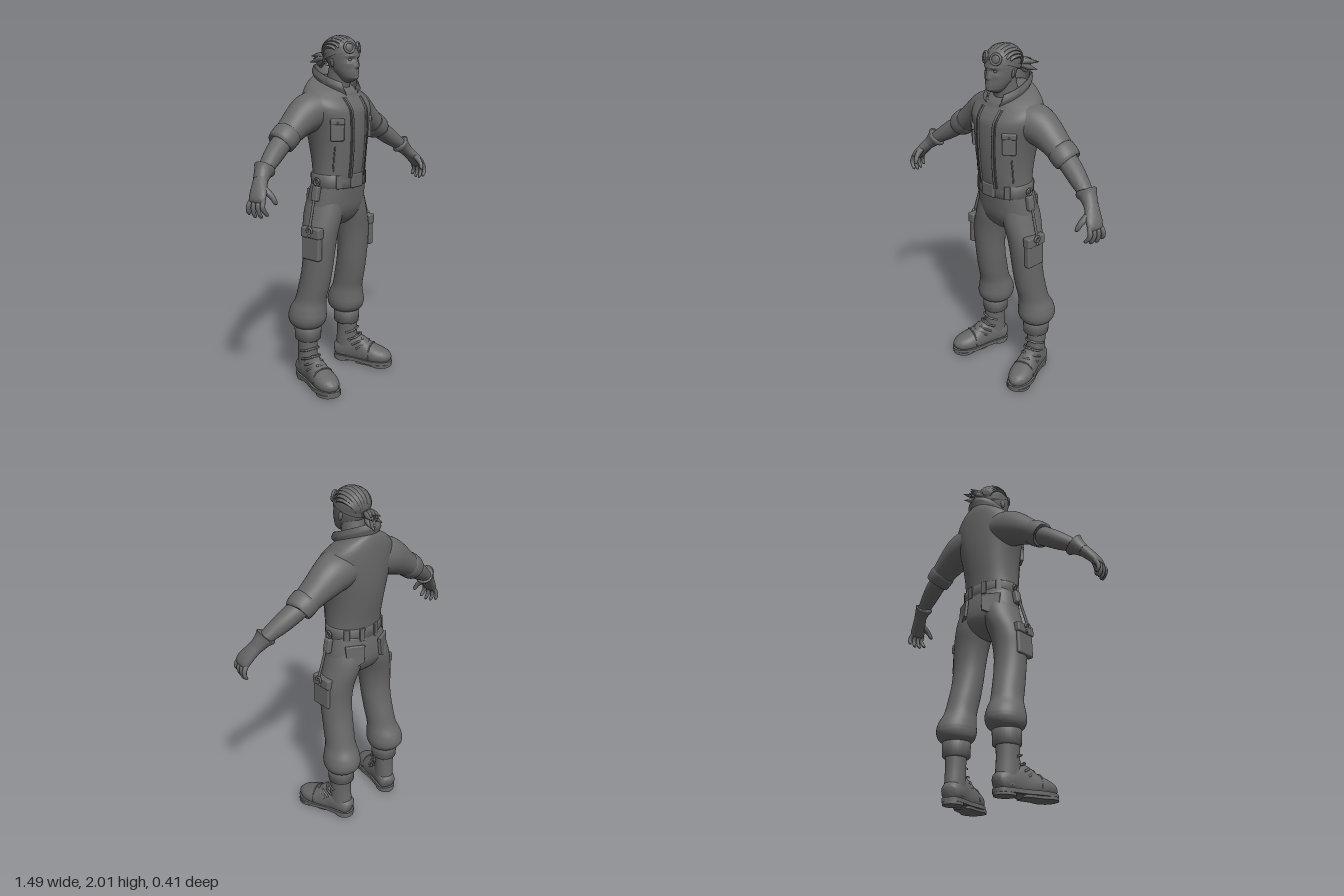
import * as THREE from 'three';
import { toCreasedNormals } from 'three/addons/utils/BufferGeometryUtils.js';
import { RoundedBoxGeometry } from 'three/addons/geometries/RoundedBoxGeometry.js';

const mat = new THREE.MeshStandardMaterial({ color: 0x686868 });
const thin = new THREE.MeshStandardMaterial({ color: 0x686868, side: THREE.DoubleSide });
const V = (x, y, z) => new THREE.Vector3(x, y, z);

function add(parent, name, geo, pos = [0, 0, 0], rot = [0, 0, 0], material = mat) {
  const m = new THREE.Mesh(geo, material);
  m.name = name;
  m.position.set(...pos);
  m.rotation.set(...rot);
  parent.add(m);
  return m;
}

// Smooth interpolation over rows of numbers, t running from 0 to rows.length - 1
const smooth = rows => {
  const it = new THREE.CubicInterpolant(rows.map((_, i) => i), rows.flat(), rows[0].length);
  return t => [...it.evaluate(t)];
};

// Lofted body from rows [x, y, z, sideRadius, refRadius]; ref is the direction of refRadius
function loft(rows, { steps = 4, seg = 28, ref = V(0, 0, 1), flat = false, e = 2, warp = null, crease = 0.9 } = {}) {
  const f = smooth(rows), n = (rows.length - 1) * steps, pos = [], idx = [];
  const secs = Array.from({ length: n + 1 }, (_, i) => f(i / steps));
  const P = secs.map(s => V(s[0], s[1], s[2]));
  const bend = v => Math.sign(v) * Math.abs(v) ** (2 / e);
  const put = p => { if (warp) warp(p); pos.push(p.x, p.y, p.z); };
  secs.forEach((s, i) => {
    const T = flat ? V(0, 1, 0) : P[Math.min(i + 1, n)].clone().sub(P[Math.max(i - 1, 0)]).normalize();
    const U = ref.clone().addScaledVector(T, -ref.dot(T)).normalize();
    const W = T.clone().cross(U);
    for (let j = 0; j < seg; j++) {
      const a = j / seg * Math.PI * 2;
      put(P[i].clone().addScaledVector(U, s[4] * bend(Math.cos(a))).addScaledVector(W, s[3] * bend(Math.sin(a))));
    }
  });
  for (let i = 0; i < n; i++) for (let j = 0; j < seg; j++) {
    const k = (j + 1) % seg, a = i * seg + j, b = i * seg + k;
    idx.push(a, b, b + seg, a, b + seg, a + seg);
  }
  put(P[0].clone()); put(P[n].clone());
  const c0 = (n + 1) * seg;
  for (let j = 0; j < seg; j++) {
    const k = (j + 1) % seg;
    idx.push(c0, k, j, c0 + 1, n * seg + j, n * seg + k);
  }
  const g = new THREE.BufferGeometry();
  g.setAttribute('position', new THREE.Float32BufferAttribute(pos, 3));
  g.setIndex(idx);
  return toCreasedNormals(g, crease);
}

const cord = (pts, r) => new THREE.TubeGeometry(new THREE.CatmullRomCurve3(pts.map(p => V(...p))), 24, r, 6);
const box = (w, h, d, r = 0.008) => new RoundedBoxGeometry(w, h, d, 3, r);

const TORSO = [[0, 1.2, 0.005, 0.17, 0.125], [0, 1.3, 0.005, 0.166, 0.14], [0, 1.4, 0, 0.174, 0.153],
  [0, 1.5, -0.005, 0.193, 0.161], [0, 1.6, -0.01, 0.222, 0.16], [0, 1.66, -0.02, 0.218, 0.149],
  [0, 1.7, -0.03, 0.178, 0.134], [0, 1.73, -0.03, 0.12, 0.12], [0, 1.745, -0.03, 0.07, 0.09]];

// Front of the jacket at x, y
function chestZ(x, y) {
  const i = Math.max(0, TORSO.findIndex(r => r[1] > y) - 1);
  const s = smooth(TORSO)(i + (y - TORSO[i][1]) / (TORSO[i + 1][1] - TORSO[i][1]));
  return s[2] + s[4] * (1 - Math.abs(x / s[3]) ** 2.1) ** (1 / 2.1);
}

function headParts(g) {
  // Face relief as soft bumps: x, y, width, height, depth
  const bumps = [[0, 1.85, 0.010, 0.02, 0.014], [0, 1.834, 0.013, 0.009, 0.012], [0.032, 1.87, 0.016, 0.011, -0.011],
    [0.03, 1.889, 0.024, 0.008, 0.006], [0, 1.806, 0.022, 0.004, 0.006], [0, 1.794, 0.018, 0.005, 0.006],
    [0, 1.772, 0.02, 0.012, 0.01], [0.05, 1.845, 0.018, 0.015, 0.004]];
  const face = p => {
    if (p.z < 0.06) return;
    for (const [x, y, w, h, d] of bumps)
      p.z += d * Math.exp(-(((Math.abs(p.x) - x) / w) ** 2) - ((p.y - y) / h) ** 2);
  };
  add(g, 'head', loft([[0, 1.748, 0.06, 0.02, 0.03], [0, 1.765, 0.068, 0.042, 0.054], [0, 1.79, 0.06, 0.057, 0.07],
    [0, 1.82, 0.044, 0.069, 0.086], [0, 1.86, 0.034, 0.077, 0.093], [0, 1.9, 0.03, 0.08, 0.097],
    [0, 1.94, 0.025, 0.078, 0.092], [0, 1.97, 0.022, 0.06, 0.07], [0, 1.985, 0.02, 0.03, 0.035]],
    { steps: 9, seg: 72, flat: true, warp: face, crease: 2 }));
  add(g, 'neck', loft([[0, 1.62, -0.02, 0.075, 0.08], [0, 1.72, -0.005, 0.066, 0.07], [0, 1.82, 0.015, 0.062, 0.065]]));
  for (const s of [-1, 1]) {
    add(g, 'eye', new THREE.SphereGeometry(0.011, 16, 12), [s * 0.032, 1.869, 0.104]);
    add(g, 'ear', new THREE.SphereGeometry(1, 16, 12), [s * 0.077, 1.853, 0.02], [-0.2, s * 0.3, 0]).scale.set(0.007, 0.024, 0.014);
  }

  // Swept-back hair, tied at the nape
  const cap = new THREE.SphereGeometry(1, 36, 20, 0, Math.PI * 2, 0, 1.85).rotateX(-0.5).scale(0.085, 0.08, 0.102);
  add(g, 'hairCap', cap, [0, 1.91, 0.016], [0, 0, 0], thin);
  for (let i = -5; i <= 5; i++) {
    const rows = [];
    for (let k = 0; k <= 8; k++) {
      const t = k / 8, l = i * 0.25 * (1 - 0.72 * t ** 3), phi = 1.0 - 3.05 * t, c = Math.cos(l);
      const r = 0.005 + 0.014 * Math.sin(Math.PI * (0.08 + 0.84 * t));
      rows.push([0.082 * Math.sin(l), 1.909 + 0.081 * c * Math.cos(phi), 0.016 + 0.102 * c * Math.sin(phi), r * 0.6, r]);
    }
    add(g, 'hairStrand', loft(rows, { steps: 3, seg: 8, ref: V(1, 0, 0) }));
  }
  add(g, 'hairTie', new THREE.TorusGeometry(0.017, 0.008, 8, 18), [0, 1.868, -0.09], [0.25, 0, 0]);
  for (let i = 0; i < 10; i++) {
    const a = i * 2.4, q = i ? 0.6 + 0.2 * (i % 3) : 0, x = Math.cos(a) * q, y = Math.sin(a) * q;
    const end = -0.165 - 0.035 * ((i * 5) % 7) / 6;
    add(g, 'ponytailLock', loft([[0, 1.868, -0.07, 0.007, 0.007], [x * 0.02, 1.876 + y * 0.022, -0.112, 0.015, 0.014],
      [0.01 + x * 0.032, 1.87 + y * 0.037, -0.142, 0.014, 0.012], [0.02 + x * 0.038, 1.858 + y * 0.05, end, 0.002, 0.002]],
      { seg: 8, ref: V(1, 0, 0) }));
  }

  // Goggles pushed up on the forehead
  add(g, 'goggleStrap', new THREE.CylinderGeometry(1, 1, 0.024, 48, 1, true).scale(0.088, 1, 0.108), [0, 1.9, 0.02], [-0.33, 0, 0], thin);
  for (const s of [-1, 1]) {
    const lens = new THREE.Group();
    lens.name = 'goggleLens';
    lens.position.set(s * 0.04, 1.934, 0.11);
    lens.rotation.set(-0.2, s * 0.45, 0);
    add(lens, 'rim', new THREE.TorusGeometry(0.027, 0.007, 10, 28));
    add(lens, 'housing', new THREE.CylinderGeometry(0.028, 0.033, 0.028, 28).rotateX(Math.PI / 2), [0, 0, -0.014]);
    add(lens, 'glass', new THREE.SphereGeometry(0.024, 20, 12).scale(1, 1, 0.35));
    g.add(lens);
  }
  add(g, 'goggleBridge', box(0.022, 0.014, 0.014, 0.004), [0, 1.934, 0.12]);
}

function jacketParts(g) {
  // The neckline drops towards the front
  const neckline = p => { p.y -= 0.35 * p.z * THREE.MathUtils.clamp((p.y - 1.6) / 0.13, 0, 1); };
  add(g, 'jacket', loft(TORSO, { steps: 6, seg: 72, flat: true, e: 2.1, warp: neckline, crease: 2 }));

  // Open stand-up collar, folded outwards, its front corners spread apart
  const pos = [], idx = [], n = 40;
  const rings = [[0.1, 0.124, 1.68, 0.32, 0.42], [0.1, 0.128, 1.72, 0.35, 0.5], [0.114, 0.148, 1.748, 0.39, 0.64], [0.115, 0.149, 1.757, 0.39, 0.68],
    [0.106, 0.136, 1.783, 0.4, 0.74], [0.1, 0.13, 1.783, 0.4, 0.74], [0.091, 0.117, 1.73, 0.37, 0.55], [0.092, 0.113, 1.68, 0.32, 0.42]];
  for (const [rx, rz, y, k, gap] of rings) for (let j = 0; j <= n; j++) {
    const a = gap + (2 * Math.PI - 2 * gap) * j / n, z = rz * Math.cos(a) - 0.016;
    pos.push(rx * Math.sin(a), y - k * z, z);
  }
  for (let i = 0; i < rings.length - 1; i++) for (let j = 0; j < n; j++) {
    const a = i * (n + 1) + j, d = a + n + 1;
    idx.push(a, a + 1, d + 1, a, d + 1, d);
  }
  const c = new THREE.BufferGeometry();
  c.setAttribute('position', new THREE.Float32BufferAttribute(pos, 3));
  c.setIndex(idx);
  add(g, 'collar', toCreasedNormals(c, 0.9), [0, 0, 0], [0, 0, 0], thin);

  for (const s of [-1, 1]) {
    // Front seams, piping and chest pockets
    for (const [dx, r] of [[0, 0.006], [0.013, 0.0045]]) {
      const pts = [];
      for (let i = 0; i <= 10; i++) {
        const y = 1.23 + 0.465 * i / 10, x = s * (0.05 + dx + 0.014 * (i / 10) ** 2);
        const p = V(x, y, chestZ(x, y) + 0.003);
        neckline(p);
        pts.push([p.x, p.y, p.z]);
      }
      add(g, 'frontSeam', cord(pts, r));
    }
    const z = chestZ(0.14, 1.5);
    add(g, 'chestPocket', box(0.075, 0.11, 0.022), [s * 0.14, 1.495, z], [0, s * 0.68, 0]);
    add(g, 'chestPocketFlap', box(0.08, 0.034, 0.03), [s * 0.14, 1.545, z], [0, s * 0.68, 0]);
    add(g, 'chestPocketButton', new THREE.SphereGeometry(0.006, 10, 8), [s * 0.15, 1.54, z + 0.012]);
    const side = [1.27, 1.34, 1.41].map(y => [s * 0.142, y, chestZ(0.142, y) + 0.001]);
    add(g, 'sidePocketSeam', cord(side, 0.004));
  }

  // Belt
  const ring = (y, k) => [0, y, 0.002, 0.176 + k, 0.13 + k];
  add(g, 'belt', loft([ring(1.17, -0.006), ring(1.176, 0), ring(1.244, 0), ring(1.25, -0.006)], { steps: 1, seg: 56, flat: true, e: 2.1 }));
  add(g, 'buckle', box(0.094, 0.08, 0.024, 0.01), [0, 1.21, 0.131]);
  for (const a of [0.72, 2.3, 2.85, -0.72, -2.3, -2.85])
    add(g, 'beltLoop', box(0.034, 0.078, 0.012, 0.004), [0.176 * Math.sin(a), 1.21, 0.002 + 0.131 * Math.cos(a)], [0, Math.atan2(Math.sin(a) / 0.176, Math.cos(a) / 0.13), 0]);
}

function armParts(g) {
  add(g, 'sleeve', loft([[0.06, 1.6, -0.02, 0.085, 0.11], [0.12, 1.603, -0.033, 0.105, 0.118], [0.19, 1.588, -0.046, 0.108, 0.108],
    [0.25, 1.56, -0.05, 0.097, 0.095], [0.32, 1.518, -0.048, 0.078, 0.083], [0.38, 1.478, -0.043, 0.067, 0.074],
    [0.41, 1.457, -0.04, 0.062, 0.068]], { steps: 5, seg: 40, crease: 1.2 }));
  add(g, 'sleeveCuff', loft([[0.36, 1.494, -0.043, 0.064, 0.07], [0.366, 1.49, -0.043, 0.073, 0.08], [0.395, 1.47, -0.041, 0.074, 0.081],
    [0.422, 1.45, -0.038, 0.07, 0.077], [0.427, 1.446, -0.038, 0.06, 0.067]], { steps: 2, seg: 32 }));
  add(g, 'forearm', loft([[0.39, 1.47, -0.04, 0.054, 0.058], [0.46, 1.425, -0.026, 0.053, 0.056], [0.52, 1.385, -0.01, 0.049, 0.05],
    [0.58, 1.345, 0.008, 0.039, 0.042], [0.63, 1.305, 0.022, 0.033, 0.037]]));
  add(g, 'gloveCuff', loft([[0.592, 1.345, 0.01, 0.05, 0.044], [0.596, 1.34, 0.012, 0.062, 0.052], [0.615, 1.322, 0.018, 0.046, 0.045],
    [0.645, 1.29, 0.03, 0.034, 0.04]]));
  add(g, 'palm', loft([[0.635, 1.302, 0.026, 0.034, 0.039], [0.668, 1.265, 0.045, 0.03, 0.045], [0.697, 1.228, 0.064, 0.026, 0.052],
    [0.712, 1.202, 0.073, 0.02, 0.05], [0.716, 1.19, 0.075, 0.008, 0.035]]));
  [0.034, 0.06, 0.086, 0.112].forEach((z, i) => {
    const l = [0.85, 1, 1.0, 0.85][i], k = z - 0.07, x = -0.007 * i;
    add(g, 'finger', loft([[0.705, 1.212, z, 0.012, 0.013], [0.727 + x * 0.4, 1.18, z + k * 0.1, 0.013, 0.013],
      [0.731 + x, 1.205 - 0.06 * l, z + k * 0.2, 0.011, 0.0115], [0.722 + x * 1.3, 1.205 - 0.082 * l, z + k * 0.25, 0.009, 0.009],
      [0.718 + x * 1.3, 1.205 - 0.09 * l, z + k * 0.25, 0.003, 0.003]], { seg: 12 }));
  });
  add(g, 'thumb', loft([[0.672, 1.268, 0.06, 0.018, 0.022], [0.666, 1.245, 0.098, 0.017, 0.019], [0.658, 1.218, 0.126, 0.014, 0.015],
    [0.65, 1.19, 0.139, 0.011, 0.011], [0.648, 1.181, 0.142, 0.003, 0.003]], { seg: 12, ref: V(1, 0, 0) }));
}

function legParts(g) {
  add(g, 'trouserLeg', loft([[0.18, 0.335, -0.085, 0.068, 0.07], [0.179, 0.36, -0.088, 0.097, 0.102], [0.178, 0.4, -0.088, 0.107, 0.117],
    [0.175, 0.45, -0.083, 0.101, 0.11], [0.169, 0.51, -0.067, 0.088, 0.094], [0.163, 0.6, -0.045, 0.087, 0.093],
    [0.158, 0.7, -0.026, 0.09, 0.09], [0.154, 0.8, -0.016, 0.094, 0.092], [0.143, 0.9, -0.016, 0.101, 0.102],
    [0.114, 1.0, -0.021, 0.102, 0.117], [0.094, 1.08, -0.02, 0.098, 0.115], [0.085, 1.18, -0.005, 0.07, 0.09]],
    { steps: 5, seg: 40, flat: true, crease: 2 }));
  const cuff = (y, r) => [0.18, y, -0.083, r, r * 1.04];
  add(g, 'trouserCuff', loft([cuff(0.258, 0.068), cuff(0.264, 0.075), cuff(0.34, 0.078), cuff(0.35, 0.07)], { steps: 1, flat: true }));

  // Cargo pocket
  add(g, 'cargoPocket', box(0.04, 0.18, 0.125, 0.012), [0.232, 0.862, 0.003], [0, 0, 0.04]);
  add(g, 'cargoFlap', box(0.05, 0.06, 0.134, 0.01), [0.232, 0.93, 0.003], [0, 0, 0.04]);
  add(g, 'cargoButton', new THREE.SphereGeometry(0.009, 10, 8), [0.257, 0.915, 0.003]);

  // Back pocket with pointed bottom edge
  const s = new THREE.Shape([[-0.052, 0.06], [-0.047, -0.035], [0, -0.06], [0.047, -0.035], [0.052, 0.06]].map(p => new THREE.Vector2(...p)));
  const pocket = new THREE.ExtrudeGeometry(s, { depth: 0.01, bevelSize: 0.004, bevelThickness: 0.004, bevelSegments: 2 });
  add(g, 'backPocket', pocket, [0.102, 1.09, -0.122], [-0.08, Math.PI - 0.5, 0, 'YXZ']);
  add(g, 'backPocketFlap', box(0.108, 0.024, 0.018, 0.006), [0.105, 1.143, -0.122], [0, Math.PI - 0.5, 0]);

  // Spanner in a holster on the belt
  add(g, 'holster', box(0.034, 0.085, 0.045, 0.01), [0.195, 1.145, 0], [0, 0, 0.2]);
  add(g, 'holsterRing', new THREE.TorusGeometry(0.018, 0.006, 8, 18), [0.187, 1.21, 0], [0, Math.PI / 2, 0]);
  add(g, 'spannerHandle', cord([[0.2, 1.16, 0], [0.232, 1.05, 0.005], [0.258, 0.965, 0.008]], 0.008));
  add(g, 'spannerJaw', new THREE.TorusGeometry(0.017, 0.007, 8, 18, 4.7), [0.261, 0.947, 0.008], [0, Math.PI / 2, -0.78]);

  // Boot, turned outwards
  const boot = new THREE.Group();
  boot.name = 'boot';
  boot.position.set(0.185, 0, -0.082);
  boot.rotation.y = 0.29;
  add(boot, 'shaft', loft([[0, 0.05, -0.005, 0.054, 0.066], [0, 0.12, 0, 0.055, 0.07], [0, 0.19, 0, 0.055, 0.065], [0, 0.28, 0, 0.058, 0.066]], { flat: true }));
  add(boot, 'foot', loft([[0, 0.06, -0.077, 0.02, 0.03], [0, 0.065, -0.06, 0.05, 0.05], [0, 0.08, 0, 0.056, 0.07], [0, 0.085, 0.07, 0.056, 0.09],
    [0, 0.07, 0.14, 0.066, 0.068], [0, 0.062, 0.2, 0.07, 0.054], [0, 0.056, 0.25, 0.057, 0.043], [0, 0.05, 0.28, 0.034, 0.028],
    [0, 0.046, 0.292, 0.012, 0.012]], { steps: 5, seg: 32, ref: V(0, 1, 0), e: 2.2 }));
  const outline = new THREE.Shape(new THREE.SplineCurve([[0, -0.084], [0.046, -0.065], [0.057, 0], [0.059, 0.08], [0.075, 0.18], [0.062, 0.25], [0.034, 0.288],
    [0, 0.299], [-0.034, 0.288], [-0.062, 0.25], [-0.075, 0.18], [-0.059, 0.08], [-0.057, 0], [-0.046, -0.065], [0, -0.084]].map(p => new THREE.Vector2(p[0], -p[1]))).getPoints(60));
  const sole = toCreasedNormals(new THREE.ExtrudeGeometry(outline, { depth: 0.022, bevelEnabled: false }).rotateX(-Math.PI / 2), 0.6);
  add(boot, 'sole', sole, [0, 0.014, 0]);
  add(boot, 'tread', sole, [0, 0, 0.116]).scale.set(0.96, 0.8, 0.6);
  add(boot, 'heel', new THREE.CylinderGeometry(0.055, 0.055, 0.03, 28).scale(1, 1, 1.1), [0, 0.015, -0.022]);
  add(boot, 'toeCapSeam', cord([[-0.07, 0.05, 0.165], [-0.05, 0.114, 0.168], [0, 0.13, 0.17], [0.05, 0.114, 0.168], [0.07, 0.05, 0.165]], 0.0045));
  [[0.215, 0.068, 0.02], [0.172, 0.085, 0.02], [0.152, 0.112, 0.03], [0.136, 0.14, 0.035]].forEach(([y, z, d], i) => {
    add(boot, 'lace', cord([[-0.058, y - d, z - 0.055], [-0.04, y - d * 0.2, z - 0.012], [0, y + 0.004, z + 0.002], [0.04, y - d * 0.2, z - 0.012],
      [0.058, y - d, z - 0.055]], 0.0065));
    add(boot, 'laceKnot', new THREE.SphereGeometry(0.009, 8, 6), [i % 2 ? 0.02 : -0.02, y + 0.004, z]);
  });
  g.add(boot);
}

export function createModel() {
  const model = new THREE.Group();
  model.name = 'mechanic';
  const part = (name, build, both) => {
    const g = new THREE.Group();
    build(g);
    model.add(g);
    g.name = both ? 'left' + name : name;
    if (!both) return;
    const m = g.clone();
    m.name = 'right' + name;
    m.scale.x = -1;
    model.add(m);
  };
  part('head', headParts);
  part('jacket', jacketParts);
  part('seat', g => add(g, 'trouserSeat', loft([[0, 0.935, -0.018, 0.02, 0.03], [0, 0.95, -0.018, 0.065, 0.062], [0, 0.98, -0.02, 0.135, 0.094],
    [0, 1.02, -0.02, 0.186, 0.115], [0, 1.06, -0.018, 0.194, 0.125], [0, 1.12, -0.012, 0.186, 0.127], [0, 1.2, 0, 0.17, 0.124]],
    { steps: 5, seg: 56, flat: true, e: 2.3, crease: 2 })));
  part('Arm', armParts, true);
  part('Leg', legParts, true);
  return model;
}
